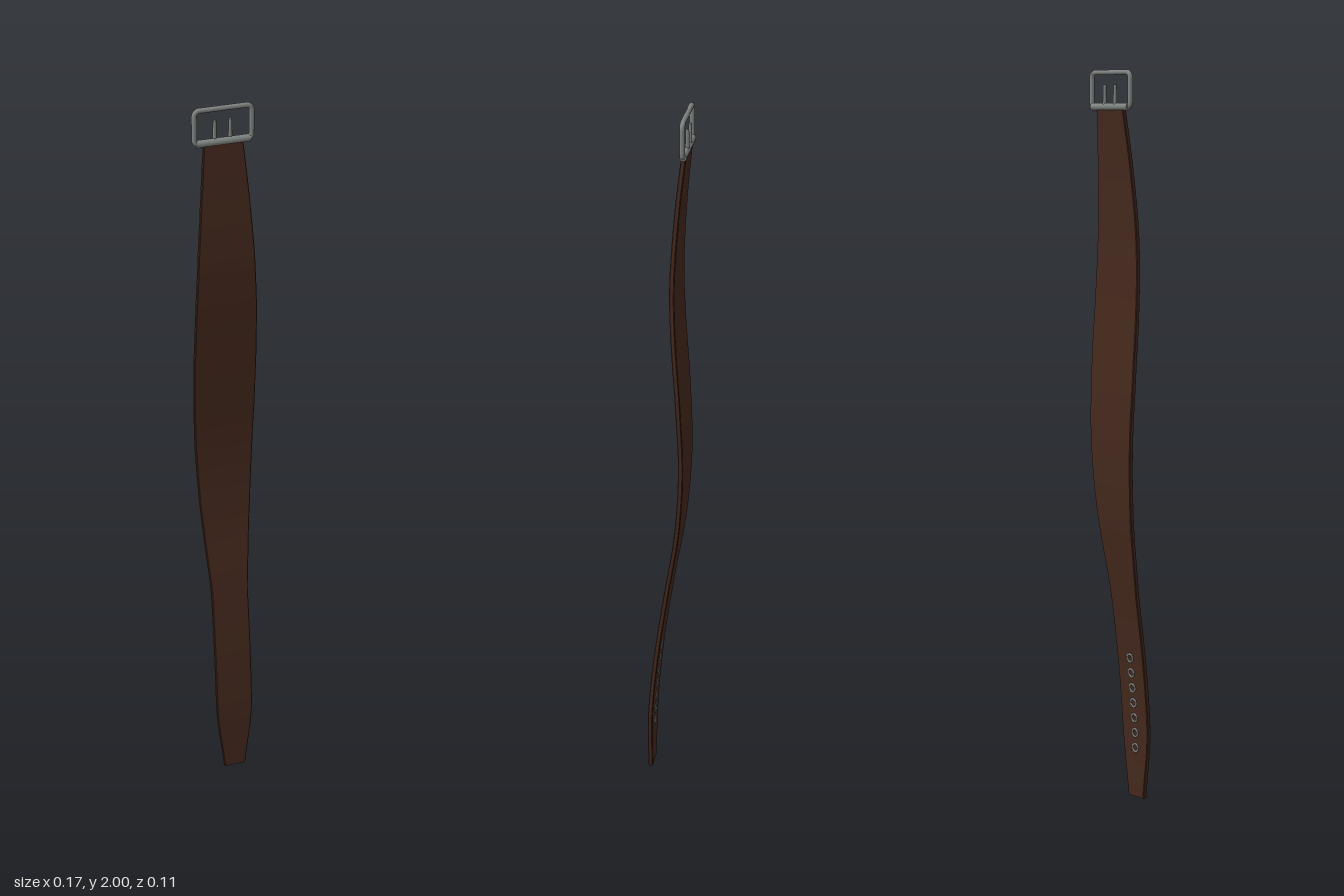
import * as THREE from 'three';

const leather = new THREE.MeshStandardMaterial({ color: 0x45291d });
leather.name = 'dark brown leather';
const metal = new THREE.MeshStandardMaterial({ color: 0x808582 });
metal.name = 'grey metal';

// Strap stations: height, half width
const widths = [[0, 0.031], [0.06, 0.038], [0.12, 0.046], [0.18, 0.052], [0.24, 0.053], [0.4, 0.053], [0.58, 0.053],
  [0.7, 0.062], [0.85, 0.073], [1.0, 0.081], [1.15, 0.086], [1.3, 0.087], [1.45, 0.084], [1.6, 0.077], [1.75, 0.066], [1.9, 0.053]];
// Gentle wave of the strap: height and depth
const wave = new THREE.CatmullRomCurve3([[0, 0.05], [0.2, 0.046], [0.4, 0.028], [0.6, 0], [0.8, -0.031], [1.0, -0.044],
  [1.2, -0.037], [1.4, -0.024], [1.55, -0.02], [1.75, -0.031], [1.9, -0.046]].map(([y, z]) => new THREE.Vector3(0, y, z)));
const depthTable = wave.getPoints(200).map((p) => [p.y, p.z]);
const THICK = 0.0065;

function sample(table, y) {
  let i = 1;
  while (i < table.length - 1 && table[i][0] < y) i++;
  const [a, b] = [table[i - 1], table[i]];
  return THREE.MathUtils.lerp(a[1], b[1], (y - a[0]) / (b[0] - a[0]));
}
const depthAt = (y) => sample(depthTable, y);

// Flat band with bevelled edges swept up the wave
function strapGeometry() {
  const steps = 60, pos = [];
  const ring = (y) => {
    const w = sample(widths, y), z = depthAt(y), b = 0.002, t = THICK;
    return [[w - b, t], [w, t - b], [w, b - t], [w - b, -t], [b - w, -t], [-w, b - t], [-w, t - b], [b - w, t]]
      .map(([x, d]) => [x, y, z + d]);
  };
  const tri = (a, b, c) => pos.push(...a, ...b, ...c);
  for (let i = 0; i < steps; i++) {
    const a = ring(1.9 * i / steps), b = ring(1.9 * (i + 1) / steps);
    for (let j = 0; j < 8; j++) {
      const k = (j + 1) % 8;
      tri(a[j], b[k], b[j]);
      tri(a[j], a[k], b[k]);
    }
  }
  const lo = ring(0), hi = ring(1.9);
  for (let j = 1; j < 7; j++) {
    tri(lo[0], lo[j + 1], lo[j]);
    tri(hi[0], hi[j], hi[j + 1]);
  }
  const g = new THREE.BufferGeometry();
  g.setAttribute('position', new THREE.Float32BufferAttribute(pos, 3));
  g.computeVertexNormals();
  return g;
}

// Closed tube running around a rounded rectangle
function frameGeometry(w, h, r, tube) {
  const pts = [];
  [[1, 1], [-1, 1], [-1, -1], [1, -1]].forEach(([sx, sy], corner) => {
    for (let i = 0; i <= 4; i++) {
      const a = (corner + i / 4) * Math.PI / 2;
      pts.push(new THREE.Vector3(sx * (w - r) + r * Math.cos(a), sy * (h - r) + r * Math.sin(a), 0));
    }
  });
  const path = new THREE.CurvePath();
  pts.forEach((p, i) => path.add(new THREE.LineCurve3(p, pts[(i + 1) % pts.length])));
  return new THREE.TubeGeometry(path, 120, tube, 10, true);
}

export function createModel() {
  const group = new THREE.Group();
  const add = (name, geometry, material, x, y, z, parent = group) => {
    const mesh = new THREE.Mesh(geometry, material);
    mesh.name = name;
    mesh.position.set(x, y, z);
    parent.add(mesh);
    return mesh;
  };

  add('strap', strapGeometry(), leather, 0, 0, 0);

  // Buckle: rounded frame, thick hinge bar and two prongs
  const buckle = new THREE.Group();
  buckle.name = 'buckle';
  group.add(buckle);
  add('buckleFrame', frameGeometry(0.077, 0.046, 0.013, 0.007), metal, 0, 1.947, -0.046, buckle);
  add('hingeBar', new THREE.CylinderGeometry(0.01, 0.01, 0.146, 16), metal, 0, 1.903, -0.047, buckle).rotation.z = Math.PI / 2;
  for (const side of [-1, 1]) {
    add('prong', new THREE.CylinderGeometry(0.0045, 0.0055, 0.055, 10), metal, side * 0.021, 1.933, -0.05, buckle);
  }

  // Row of eyelets along the back of the tapered end
  const eyelets = new THREE.Group();
  eyelets.name = 'eyelets';
  group.add(eyelets);
  const ring = new THREE.TorusGeometry(0.011, 0.003, 8, 20);
  for (let i = 0; i < 7; i++) {
    const y = 0.14 + i * 0.043;
    const slope = (depthAt(y + 0.02) - depthAt(y - 0.02)) / 0.04;
    add('eyelet', ring, metal, 0, y, depthAt(y) - THICK, eyelets).rotation.x = Math.atan(slope);
  }
  return group;
}
